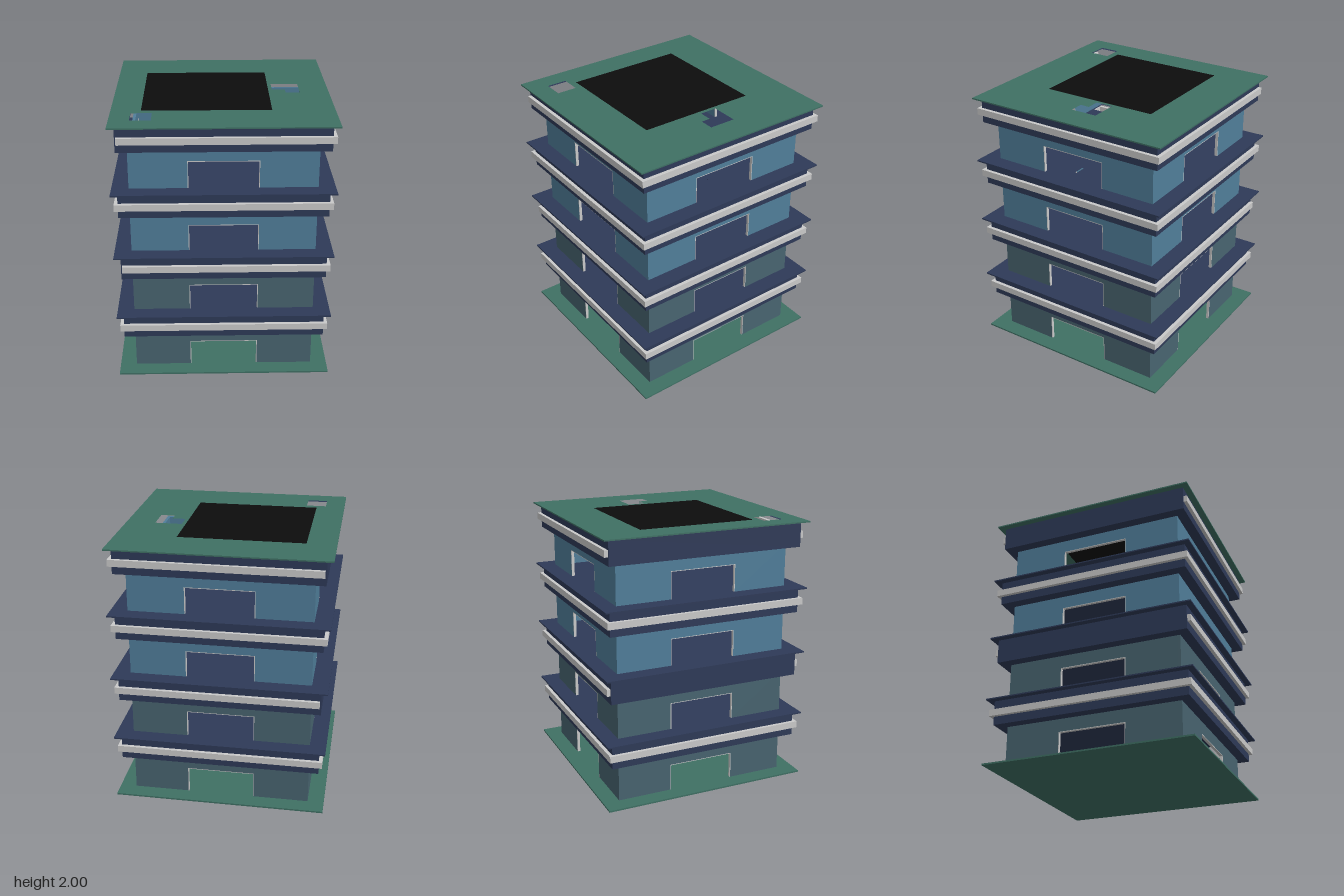
import * as THREE from 'three';

const mat = (name, color) => {
  const m = new THREE.MeshStandardMaterial({ color });
  m.name = name;
  return m;
};

// Outline from [x, z] pairs, laid out so that extrusion goes up
const trace = (points, Kind) => new Kind(points.map(([x, z]) => new THREE.Vector2(x, -z)));
const rect = (x0, x1, z0, z1) => [[x0, z0], [x1, z0], [x1, z1], [x0, z1]];

// Flat horizontal plate with holes, from y to y + h
function plate(name, outline, holes, y, h, material) {
  const shape = trace(outline, THREE.Shape);
  shape.holes = holes.map((p) => trace(p, THREE.Path));
  const geo = new THREE.ExtrudeGeometry(shape, { depth: h, bevelEnabled: false });
  geo.rotateX(-Math.PI / 2).translate(0, y, 0);
  const mesh = new THREE.Mesh(geo, material);
  mesh.name = name;
  return mesh;
}

function box(name, x0, x1, y0, y1, z0, z1, material) {
  const mesh = new THREE.Mesh(new THREE.BoxGeometry(x1 - x0, y1 - y0, z1 - z0), material);
  mesh.position.set((x0 + x1) / 2, (y0 + y1) / 2, (z0 + z1) / 2);
  mesh.name = name;
  return mesh;
}

export function createModel() {
  const green = mat('green deck', 0x3f7064);
  const navy = mat('navy slab', 0x2e3a58);
  const slate = mat('slate wall', 0x486470);
  const blue = mat('blue wall', 0x507e9a);
  const trim = mat('light grey trim', 0xcacaca);
  const black = mat('black panel', 0x0d0d0d);

  const group = new THREE.Group();
  group.name = 'building';

  const S = 0.795, W = 0.672, T = 0.022, F = 0.748, R = 0.774; // slab, wall, wall thickness, fascia, rail
  const D = 0.25; // half door width
  const level = (i) => 0.012 + i * 0.497; // top of each slab

  const square = (r) => rect(-r, r, -r, r);
  const shaft = rect(-0.65, -0.5, 0.495, 0.645);
  const stairwell = [[0.375, -0.14], [0.578, -0.14], [0.578, 0.06], [0.473, 0.06], [0.473, -0.01], [0.375, -0.01]];
  const skylight = rect(-0.58, 0.347, -0.447, 0.443);

  // Ground, floor and roof slabs
  group.add(plate('ground', square(S), [], 0, 0.012, green));
  group.add(plate('firstSlab', square(S), [shaft], level(1) - 0.01, 0.01, navy));
  group.add(plate('secondSlab', square(S), [shaft], level(2) - 0.01, 0.01, navy));
  group.add(plate('thirdSlab', square(S), [shaft, stairwell], level(3) - 0.01, 0.01, navy));
  group.add(plate('roof', square(S), [shaft, stairwell, skylight], level(4) - 0.01, 0.01, green));
  group.add(plate('roofPanel', skylight, [], level(4) - 0.01, 0.01, black));

  for (let i = 0; i < 4; i++) {
    const storey = new THREE.Group();
    storey.name = 'storey' + (i + 1);
    const y0 = level(i), top = level(i + 1), fasciaBottom = top - 0.195;
    const doorTop = y0 + 0.2, wallMat = i < 2 ? slate : blue;

    // Four walls, each with a doorway lined in trim
    for (let k = 0; k < 4; k++) {
      const wall = new THREE.Group();
      wall.name = 'wall' + (k + 1);
      const end = k % 2 ? W - T : W; // side walls fit between front and back
      const e = 0.005, zi = W - T;
      wall.add(box('wallLeft', D + e, end, y0, fasciaBottom, zi, W, wallMat));
      wall.add(box('wallRight', -end, -D - e, y0, fasciaBottom, zi, W, wallMat));
      wall.add(box('lintel', -D - e, D + e, doorTop + e, fasciaBottom, zi, W, wallMat));
      wall.add(box('jambLeft', D, D + e, y0, doorTop, zi, W, trim));
      wall.add(box('jambRight', -D - e, -D, y0, doorTop, zi, W, trim));
      wall.add(box('doorHead', -D - e, D + e, doorTop, doorTop + e, zi, W, trim));
      wall.rotation.y = (k * Math.PI) / 2;
      storey.add(wall);
    }

    // Fascia ring under the slab
    storey.add(plate('fascia', square(F), [square(W - T)], fasciaBottom, top - 0.01 - fasciaBottom, navy));

    // Rail around the fascia; every second storey leaves the -x side bare
    const r0 = top - 0.132, r1 = top - 0.082;
    const start = i % 2 ? -0.738 : -R;
    storey.add(box('frontRail', start, R, r0, r1, F, R, trim));
    storey.add(box('backRail', start, R, r0, r1, -R, -F, trim));
    storey.add(box('leftRail', F, R, r0, r1, -F, F, trim));
    if (i % 2 === 0) storey.add(box('rightRail', -R, -F, r0, r1, -F, F, trim));

    group.add(storey);
  }
  return group;
}
